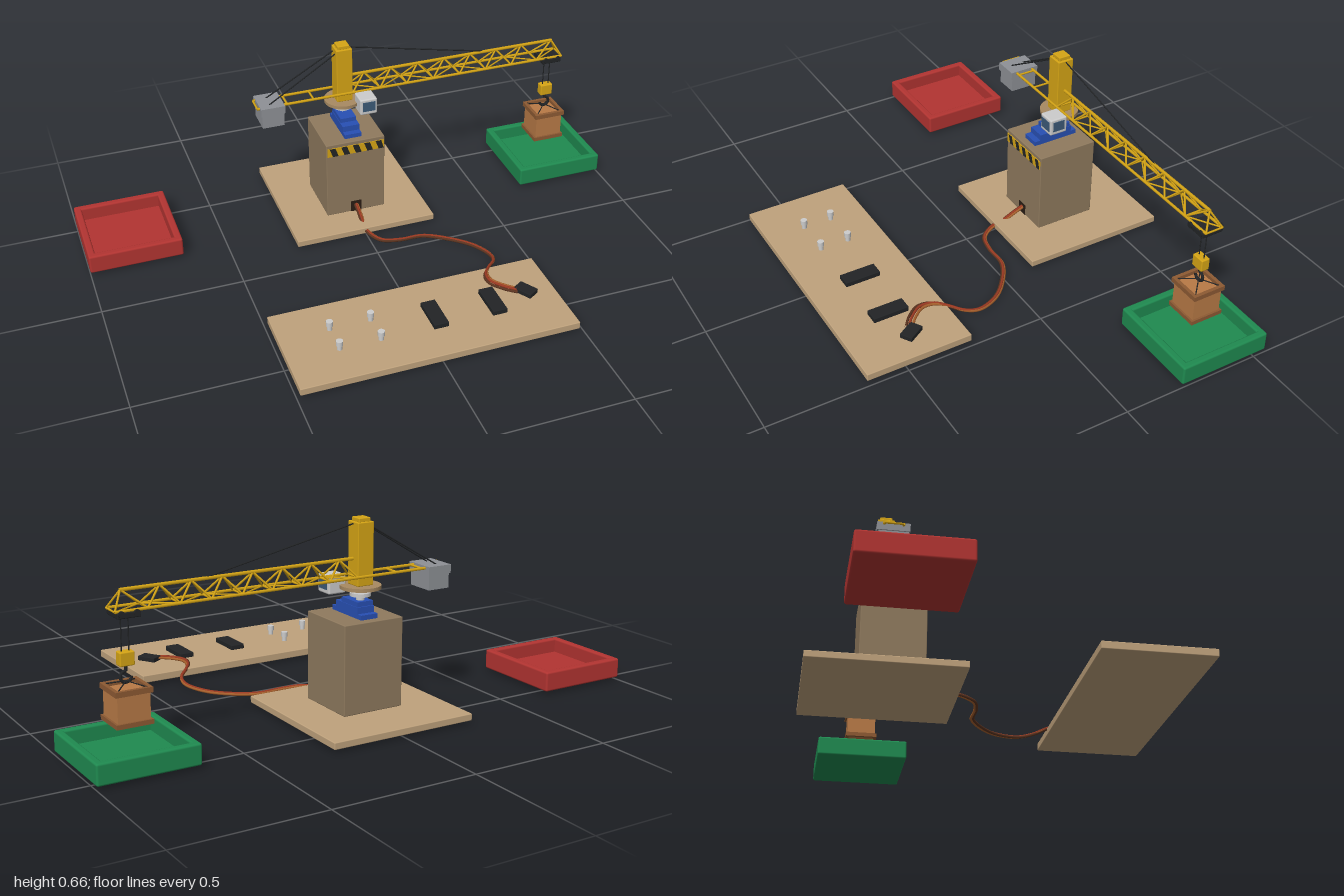
import * as THREE from 'three';
import { RoundedBoxGeometry } from 'three/addons/geometries/RoundedBoxGeometry.js';

const AXIS = -0.38; // z of the mast and jib
const LOAD = 0.828; // x of trolley, hook and crate
const mat = (color, double) => new THREE.MeshStandardMaterial({ color, side: double ? THREE.DoubleSide : THREE.FrontSide });
const M = {
  wood: mat(0xbfa27c), tower: mat(0x8f7a5e), yellow: mat(0xd6a515), black: mat(0x222426), steel: mat(0xc4c4c0),
  grey: mat(0x8e9196), blue: mat(0x2850b4), glass: mat(0x3c5a78), red: mat(0xb23431), green: mat(0x1f8a50),
  crate: mat(0xb87a46), rim: mat(0x8d5a33), deck: mat(0xa88a62), brown: mat(0x5c3420), hole: mat(0x2a1d14),
};
const V = (x, y, z) => new THREE.Vector3(x, y, z);

function add(parent, name, geometry, material, x = 0, y = 0, z = 0) {
  const m = new THREE.Mesh(geometry, material);
  m.name = name;
  m.position.set(x, y, z);
  parent.add(m);
  return m;
}

// Box given by its extents
function box(parent, name, material, x0, x1, y0, y1, z0, z1, r = 0) {
  const s = [x1 - x0, y1 - y0, z1 - z0];
  const g = r ? new RoundedBoxGeometry(...s, 2, r) : new THREE.BoxGeometry(...s);
  return add(parent, name, g, material, (x0 + x1) / 2, (y0 + y1) / 2, (z0 + z1) / 2);
}

// Round bar between two points
function bar(parent, name, material, a, b, r = 0.004) {
  const d = b.clone().sub(a);
  const m = add(parent, name, new THREE.CylinderGeometry(r, r, d.length(), 6), material);
  m.position.copy(a).add(b).multiplyScalar(0.5);
  m.quaternion.setFromUnitVectors(V(0, 1, 0), d.normalize());
  return m;
}

function group(parent, name) {
  const g = new THREE.Group();
  g.name = name;
  parent.add(g);
  return g;
}

function tray(parent, name, material, cx) {
  const g = group(parent, name), h = 0.168, t = 0.026;
  box(g, 'trayFloor', material, cx - h + 0.01, cx + h - 0.01, 0.01, 0.03, AXIS - h + 0.01, AXIS + h - 0.01);
  for (const s of [-1, 1]) {
    const x = cx + s * (h - t / 2), z = AXIS + s * (h - t / 2);
    box(g, 'traySide', material, x - t / 2, x + t / 2, 0.01, 0.08, AXIS - h, AXIS + h, 0.007);
    box(g, 'trayEnd', material, cx - h, cx + h, 0.01, 0.08, z - t / 2, z + t / 2, 0.007);
  }
}

function buildTower(root) {
  const g = group(root, 'tower');
  box(g, 'baseBoard', M.wood, -0.264, 0.264, 0.01, 0.034, -0.645, -0.115, 0.003);
  box(g, 'towerBox', M.tower, -0.112, 0.112, 0.034, 0.338, -0.462, -0.237, 0.003);
  box(g, 'cableOpening', M.hole, -0.02, 0.02, 0.034, 0.078, -0.24, -0.2355);
  // Hazard band with slanted stripes
  box(g, 'hazardBand', M.yellow, -0.108, 0.108, 0.29, 0.324, -0.24, -0.234);
  for (let i = 0; i < 5; i++) {
    const x = -0.1 + i * 0.044;
    const s = new THREE.Shape([[x + 0.012, 0.29], [x + 0.034, 0.29], [x + 0.022, 0.324], [x, 0.324]]
      .map(([a, b]) => new THREE.Vector2(Math.min(a, 0.108), b)));
    add(g, 'hazardStripe', new THREE.ShapeGeometry(s), M.black, 0, 0, -0.2335);
  }
  // Servo drive stacked on the tower
  const servo = group(g, 'servo');
  box(servo, 'servoFlange', M.blue, -0.032, 0.032, 0.338, 0.354, -0.434, -0.262);
  box(servo, 'servoBody', M.blue, -0.032, 0.032, 0.354, 0.376, -0.413, -0.285);
  box(servo, 'servoTop', M.blue, -0.03, 0.03, 0.376, 0.392, -0.408, -0.315);
  add(servo, 'servoShaft', new THREE.CylinderGeometry(0.014, 0.014, 0.045, 16), M.steel, 0, 0.412, AXIS);
  add(servo, 'servoHorn', new THREE.CylinderGeometry(0.035, 0.035, 0.012, 20), M.steel, 0, 0.412, AXIS);
}

function buildCrane(root) {
  const g = group(root, 'crane');
  add(g, 'turntable', new THREE.CylinderGeometry(0.068, 0.068, 0.012, 32), M.deck, 0, 0.437, AXIS);
  box(g, 'mast', M.yellow, -0.03, 0.03, 0.443, 0.652, AXIS - 0.03, AXIS + 0.03, 0.003);
  box(g, 'mastCap', M.yellow, -0.022, 0.022, 0.65, 0.665, AXIS - 0.022, AXIS + 0.022, 0.003);
  // Operator cab
  box(g, 'cab', M.steel, 0.035, 0.1, 0.412, 0.475, -0.348, -0.28, 0.006);
  box(g, 'cabFrontWindow', M.glass, 0.044, 0.092, 0.427, 0.464, -0.281, -0.278);
  box(g, 'cabSideWindow', M.glass, 0.099, 0.102, 0.427, 0.464, -0.336, -0.291);

  // Triangular jib: two lower chords, one upper chord, zigzag lacing
  const jib = group(g, 'jib'), lo = 0.475, hi = 0.532, w = 0.032, bays = 8, x0 = 0.03, step = 0.105;
  const low = (x, s) => V(x, lo, AXIS + s * w), top = x => V(x, hi, AXIS);
  bar(jib, 'upperChord', M.yellow, top(x0), top(0.84), 0.006);
  for (const s of [-1, 1]) {
    bar(jib, 'lowerChord', M.yellow, low(-0.33, s), low(0.87, s), 0.005);
    for (let i = 0; i < bays; i++) {
      const x = x0 + i * step, mid = i === bays - 1 ? 0.838 : x + step / 2;
      bar(jib, 'lacing', M.yellow, low(x, s), top(mid), 0.0035);
      bar(jib, 'lacing', M.yellow, top(mid), low(x + step, s), 0.0035);
    }
  }
  for (let i = 0; i <= bays; i++) {
    const x = x0 + i * step, s = i % 2 ? 1 : -1;
    bar(jib, 'crossBar', M.yellow, low(x, -1), low(x, 1), 0.0035);
    if (i < bays) bar(jib, 'floorLacing', M.yellow, low(x, s), low(x + step, -s), 0.003);
  }
  for (const x of [-0.33, -0.22, -0.12]) bar(jib, 'counterCrossBar', M.yellow, low(x, -1), low(x, 1), 0.004);

  // Counterweight and tie cables
  box(g, 'counterweight', M.grey, -0.318, -0.237, 0.402, 0.455, AXIS - 0.05, AXIS + 0.05);
  box(g, 'counterweightLid', M.grey, -0.322, -0.233, 0.453, 0.482, AXIS - 0.055, AXIS + 0.055);
  for (const s of [-1, 1]) bar(g, 'backTie', M.black, V(0, 0.652, AXIS + s * 0.012), V(-0.285, 0.48, AXIS + s * 0.025), 0.0025);
  bar(g, 'frontTie', M.black, V(0, 0.652, AXIS), top(0.57), 0.0025);

  // Trolley, ropes, hook block and hook
  const hoist = group(g, 'hoist');
  box(hoist, 'trolley', M.black, 0.79, 0.866, 0.454, 0.472, AXIS - 0.04, AXIS + 0.04, 0.003);
  for (const s of [-1, 1]) {
    bar(hoist, 'rope', M.black, V(LOAD + s * 0.012, 0.456, AXIS), V(LOAD + s * 0.012, 0.34, AXIS), 0.002);
    for (const t of [-1, 1]) {
      const wheel = add(hoist, 'trolleyWheel', new THREE.CylinderGeometry(0.01, 0.01, 0.008, 12), M.black, LOAD + s * 0.025, 0.468, AXIS + t * 0.04);
      wheel.rotation.x = Math.PI / 2;
    }
  }
  box(hoist, 'hookBlock', M.yellow, LOAD - 0.024, LOAD + 0.024, 0.302, 0.346, AXIS - 0.016, AXIS + 0.016, 0.004);
  bar(hoist, 'hookShank', M.black, V(LOAD, 0.305, AXIS), V(LOAD, 0.284, AXIS), 0.005);
  add(hoist, 'hook', new THREE.TorusGeometry(0.018, 0.005, 8, 20, Math.PI * 1.5), M.black, LOAD, 0.267, AXIS).rotation.z = -Math.PI;
}

function buildCrate(root) {
  const g = group(root, 'crate'), h = 0.053, r = 0.06;
  box(g, 'crateBody', M.crate, LOAD - h, LOAD + h, 0.13, 0.229, AXIS - h, AXIS + h);
  for (const [y0, y1] of [[0.127, 0.142], [0.225, 0.242]]) {
    for (const s of [-1, 1]) {
      const x = LOAD + s * (r - 0.006), z = AXIS + s * (r - 0.006);
      box(g, 'crateRimSide', M.rim, x - 0.006, x + 0.006, y0, y1, AXIS - r, AXIS + r);
      box(g, 'crateRimEnd', M.rim, LOAD - r, LOAD + r, y0, y1, z - 0.006, z + 0.006);
    }
  }
  for (const s of [-1, 1]) for (const t of [-1, 1])
    bar(g, 'sling', M.black, V(LOAD, 0.254, AXIS), V(LOAD + s * 0.052, 0.238, AXIS + t * 0.052), 0.002);
}

function buildControlBoard(root) {
  const g = group(root, 'controlBoard');
  box(g, 'controlPanel', M.wood, -0.488, 0.488, 0.01, 0.037, 0.26, 0.642, 0.003);
  for (const x of [-0.311, -0.167]) for (const z of [0.394, 0.499]) {
    add(g, 'postStem', new THREE.CylinderGeometry(0.009, 0.009, 0.03, 16), M.steel, x, 0.048, z);
    add(g, 'postCap', new THREE.CylinderGeometry(0.012, 0.012, 0.018, 16), M.steel, x, 0.063, z);
  }
  for (const x of [0.042, 0.254]) box(g, 'circuitModule', M.black, x - 0.026, x + 0.026, 0.036, 0.054, 0.383, 0.512, 0.002);
  const plug = box(g, 'connector', M.black, 0.362, 0.408, 0.036, 0.053, 0.395, 0.465, 0.002);
  plug.rotation.y = 0.55;
}

// Bundle of wires from the tower to the connector, fanning out at the end
function buildCable(root) {
  const g = group(root, 'cable');
  const path = [[0, 0.065, -0.245], [0, 0.05, -0.205], [0, 0.026, -0.15], [0.003, 0.02, -0.105], [0.035, 0.013, -0.055],
    [0.1, 0.009, -0.038], [0.19, 0.007, -0.035], [0.28, 0.006, 0.02], [0.34, 0.009, 0.085], [0.37, 0.016, 0.165],
    [0.36, 0.026, 0.215], [0.32, 0.036, 0.26], [0.293, 0.043, 0.3], [0.29, 0.046, 0.345], [0.325, 0.047, 0.395], [0.362, 0.046, 0.425]];
  const colors = [M.brown, mat(0x9c3a22), mat(0xa8602c)];
  colors.forEach((m, i) => {
    const k = i - 1, n = path.length;
    const pts = path.map(([x, y, z], j) => {
      const spread = j > n - 5 ? 0.011 : 0.0045, a = Math.min(j / 6, 1) * 0.8;
      return V(x + k * spread * Math.cos(a), y + (i === 1 ? 0.002 : -0.001), z - k * spread * Math.sin(a));
    });
    add(g, 'wire', new THREE.TubeGeometry(new THREE.CatmullRomCurve3(pts), 90, 0.005, 6), m);
  });
}

export function createModel() {
  const root = new THREE.Group();
  root.name = 'towerCraneSet';
  tray(root, 'redTray', M.red, -0.832);
  tray(root, 'greenTray', M.green, 0.832);
  buildTower(root);
  buildCrane(root);
  buildCrate(root);
  buildControlBoard(root);
  buildCable(root);
  return root;
}
